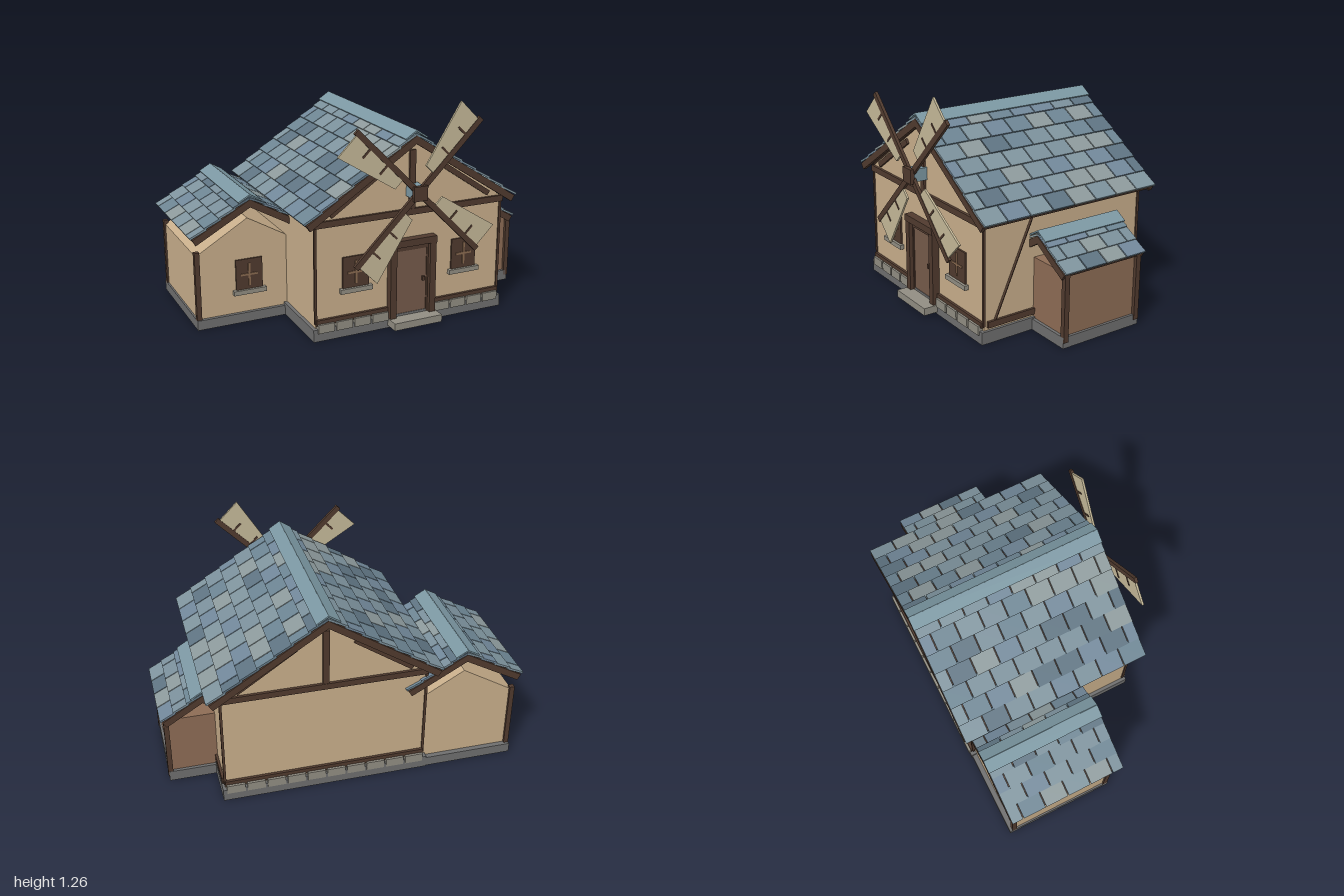
import * as THREE from 'three';

const mat = (color) => new THREE.MeshStandardMaterial({ color });
const M = {
  plaster: mat(0xc8ae8b), timber: mat(0x503a2e), plank: mat(0x8d6c55), door: mat(0x755a4a),
  base: mat(0x6e6e6e), stone: mat(0x918d82), sail: mat(0xc4b898), bar: mat(0x8a6a50),
  ridge: mat(0x7c98a3),
};
const slates = [0x5f7482, 0x72889a, 0x7f949e, 0x8d9a9c, 0x6d8593, 0x7b909b].map(mat);

let seed = 7;
const rand = () => (seed = (seed * 16807) % 2147483647) / 2147483647;

function add(parent, name, geometry, material, x = 0, y = 0, z = 0) {
  const mesh = new THREE.Mesh(geometry, material);
  mesh.name = name;
  mesh.position.set(x, y, z);
  parent.add(mesh);
  return mesh;
}

// Box given by its minimum and maximum corners
function span(parent, name, material, [x0, x1], [y0, y1], [z0, z1]) {
  const g = new THREE.BoxGeometry(x1 - x0, y1 - y0, z1 - z0);
  return add(parent, name, g, material, (x0 + x1) / 2, (y0 + y1) / 2, (z0 + z1) / 2);
}

// Straight beam between two points in the xy plane
function beam(parent, name, material, [x0, y0], [x1, y1], width, depth, z) {
  const g = new THREE.BoxGeometry(Math.hypot(x1 - x0, y1 - y0), width, depth);
  const m = add(parent, name, g, material, (x0 + x1) / 2, (y0 + y1) / 2, z);
  m.rotation.z = Math.atan2(y1 - y0, x1 - x0);
  return m;
}

// Flat outline extruded from z0 to z1
function prism(parent, name, material, points, z0, z1) {
  const shape = new THREE.Shape(points.map(([x, y]) => new THREE.Vector2(x, y)));
  const g = new THREE.ExtrudeGeometry(shape, { depth: z1 - z0, bevelEnabled: false });
  return add(parent, name, g, material, 0, 0, z0);
}

// Gabled roof: boards, staggered slates, barge boards and a ridge cap
function roof(parent, name, { x, y, half, slope, z0, z1, rows, cols }) {
  const g = new THREE.Group();
  g.name = name;
  g.position.set(x, y, (z0 + z1) / 2);
  parent.add(g);
  const a = Math.atan(slope), len = half / Math.cos(a), depth = z1 - z0;
  for (const turn of [0, Math.PI]) {
    const side = new THREE.Group();
    side.name = name + 'Slope';
    side.rotation.y = turn;
    const s = new THREE.Group();
    s.rotation.z = -a;
    side.add(s);
    g.add(side);
    span(s, 'roofBoards', M.timber, [0, len], [-0.02, 0], [-depth / 2, depth / 2]);
    for (const e of [-1, 1]) {
      add(s, 'bargeBoard', new THREE.BoxGeometry(len, 0.036, 0.022), M.timber, len / 2, -0.02, e * (depth / 2 - 0.011));
    }
    const step = len / rows, w = depth / cols;
    for (let r = 0; r < rows; r++) {
      const shift = r % 2 ? w / 2 : 0;
      for (let c = 0; c <= cols; c++) {
        const a0 = Math.max(0, c * w - shift), a1 = Math.min(depth, (c + 1) * w - shift);
        if (a1 - a0 < 0.02) continue;
        const tile = add(s, 'slate', new THREE.BoxGeometry(step * 1.1, 0.011, a1 - a0 - 0.006),
          slates[Math.floor(rand() * slates.length)], (r + 0.5) * step + 0.002, 0.009, (a0 + a1) / 2 - depth / 2);
        tile.rotation.z = 0.07;
      }
    }
    span(s, 'ridgeCap', M.ridge, [-0.016, 0.062], [0.018, 0.026], [-depth / 2, depth / 2]);
  }
}

// Window with frame, crossing bars and stone sill; z is the wall face
function windowUnit(parent, x, y, z) {
  const g = new THREE.Group();
  g.name = 'window';
  g.position.set(x, y, z);
  parent.add(g);
  add(g, 'windowFrame', new THREE.BoxGeometry(0.155, 0.18, 0.02), M.timber);
  add(g, 'windowBarUpright', new THREE.BoxGeometry(0.012, 0.13, 0.006), M.bar, 0, 0, 0.011);
  add(g, 'windowBarCross', new THREE.BoxGeometry(0.1, 0.012, 0.006), M.bar, 0, 0, 0.011);
  add(g, 'windowSill', new THREE.BoxGeometry(0.19, 0.026, 0.04), M.stone, 0, -0.1, 0.005);
}

function stoneRow(parent, x0, x1, n, z) {
  const w = (x1 - x0) / n;
  for (let i = 0; i < n; i++) {
    add(parent, 'footingStone', new THREE.BoxGeometry(w - 0.012, 0.05, 0.03), M.stone, x0 + (i + 0.5) * w, 0.073, z);
  }
}

function mainHouse(root) {
  const g = new THREE.Group();
  g.name = 'mainHouse';
  root.add(g);
  const cx = 0.13, L = -0.44, R = 0.7, F = 0.49, B = -0.54;
  span(g, 'mainBase', M.base, [-0.46, 0.715], [0, 0.07], [-0.565, 0.51]);
  prism(g, 'mainWalls', M.plaster, [[L, 0.06], [R, 0.06], [R, 0.67], [cx, 1.055], [L, 0.67]], B, F);
  // Timber framing on both gables
  for (const z of [F + 0.002, B - 0.002]) {
    span(g, 'tieBeam', M.timber, [L - 0.005, R + 0.01], [0.637, 0.672], [z - 0.014, z + 0.014]);
    span(g, 'kingPost', M.timber, [cx - 0.018, cx + 0.018], [0.67, 1.0], [z - 0.012, z + 0.012]);
    for (const s of [-1, 1]) {
      beam(g, 'gableBrace', M.timber, [cx + s * 0.485, 0.695], [cx + s * 0.16, 0.915], 0.03, 0.024, z);
    }
  }
  for (const x of [L, R]) {
    for (const z of [F, B]) add(g, 'cornerPost', new THREE.BoxGeometry(0.014, 0.55, 0.014), M.timber, x, 0.37, z);
    span(g, 'wallPlate', M.timber, [x - 0.012, x + 0.012], [0.638, 0.66], [-0.52, 0.47]);
  }
  // Sill beams and footing stones
  span(g, 'sillBeam', M.timber, [L, 0], [0.088, 0.12], [F - 0.01, F + 0.016]);
  span(g, 'sillBeam', M.timber, [0.26, R], [0.088, 0.12], [F - 0.01, F + 0.016]);
  span(g, 'sillBeam', M.timber, [L, R], [0.088, 0.12], [B - 0.016, B + 0.01]);
  span(g, 'sillBeam', M.timber, [R - 0.01, R + 0.014], [0.085, 0.12], [-0.52, 0.47]);
  stoneRow(g, -0.44, -0.01, 4, 0.503);
  stoneRow(g, 0.27, 0.695, 4, 0.503);
  stoneRow(g, -0.44, 0.7, 10, -0.555);
  // Slim diagonal brace on the side wall
  const brace = add(g, 'sideBrace', new THREE.BoxGeometry(0.03, 0.56, 0.005), M.timber, R, 0.377, 0.31);
  brace.rotation.x = -Math.atan2(0.225, 0.51);
  // Doorway
  for (const x of [0.008, 0.252]) span(g, 'doorPost', M.timber, [x - 0.019, x + 0.019], [0.05, 0.5], [0.48, 0.533]);
  span(g, 'doorHeader', M.timber, [-0.012, 0.272], [0.468, 0.507], [0.48, 0.537]);
  span(g, 'door', M.door, [0.027, 0.233], [0.055, 0.468], [0.48, 0.506]);
  span(g, 'doorLintel', M.timber, [0.03, 0.23], [0.438, 0.462], [0.49, 0.512]);
  for (const x of [0.033, 0.227]) span(g, 'doorJamb', M.timber, [x - 0.005, x + 0.005], [0.055, 0.45], [0.49, 0.511]);
  add(g, 'doorKnob', new THREE.BoxGeometry(0.016, 0.024, 0.016), M.timber, 0.202, 0.26, 0.513);
  span(g, 'doorstep', M.stone, [-0.015, 0.28], [0.015, 0.057], [0.49, 0.595]);
  windowUnit(g, -0.205, 0.363, F);
  windowUnit(g, 0.465, 0.363, F);
  roof(g, 'mainRoof', { x: cx, y: 1.085, half: 0.635, slope: 0.65, z0: -0.598, z1: 0.54, rows: 7, cols: 8 });
}

function rightWing(root) {
  const g = new THREE.Group();
  g.name = 'plasterWing';
  root.add(g);
  span(g, 'wingBase', M.base, [-0.975, -0.44], [0, 0.056], [-0.56, 0.1]);
  prism(g, 'wingWalls', M.plaster,
    [[-0.965, 0.05], [-0.43, 0.05], [-0.43, 0.47], [-0.665, 0.605], [-0.965, 0.425]], -0.53, 0.08);
  for (const z of [-0.53, 0.08]) span(g, 'wingPost', M.timber, [-0.975, -0.947], [0.05, 0.45], [z - 0.014, z + 0.014]);
  windowUnit(g, -0.665, 0.28, 0.08);
  roof(g, 'wingRoof', { x: -0.665, y: 0.725, half: 0.33, slope: 0.56, z0: -0.56, z1: 0.138, rows: 4, cols: 5 });
}

function leftShed(root) {
  const g = new THREE.Group();
  g.name = 'plankShed';
  root.add(g);
  span(g, 'shedBase', M.base, [0.7, 0.98], [0, 0.062], [-0.32, 0.19]);
  span(g, 'shedWalls', M.plank, [0.69, 0.966], [0.06, 0.408], [-0.302, 0.172]);
  for (const z of [-0.303, 0.175]) span(g, 'shedPost', M.timber, [0.957, 0.985], [0.032, 0.435], [z - 0.015, z + 0.015]);
  roof(g, 'shedRoof', { x: 0.765, y: 0.555, half: 0.225, slope: 0.62, z0: -0.335, z1: 0.203, rows: 3, cols: 4 });
}

function windmill(root) {
  const g = new THREE.Group();
  g.name = 'windmill';
  g.position.set(0.13, 0.78, 0);
  root.add(g);
  add(g, 'axle', new THREE.BoxGeometry(0.065, 0.07, 0.1), M.ridge, 0, 0, 0.525);
  add(g, 'hub', new THREE.BoxGeometry(0.082, 0.082, 0.024), M.timber, 0, 0, 0.586);
  for (let i = 0; i < 4; i++) {
    const blade = new THREE.Group();
    blade.name = 'blade';
    blade.position.z = 0.571;
    blade.rotation.z = Math.PI / 4 + i * Math.PI / 2;
    g.add(blade);
    span(blade, 'bladeArm', M.timber, [0, 0.525], [-0.016, 0.016], [-0.009, 0.009]);
    prism(blade, 'bladeSail', M.sail, [[0.13, 0.012], [0.51, 0.012], [0.51, 0.162], [0.13, 0.075]], -0.006, 0.006);
    for (const u of [0.26, 0.4]) span(blade, 'sailBatten', M.timber, [u - 0.006, u + 0.006], [0, 0.075], [-0.009, 0.009]);
  }
}

export function createModel() {
  const root = new THREE.Group();
  root.name = 'millHouse';
  seed = 7;
  mainHouse(root);
  rightWing(root);
  leftShed(root);
  windmill(root);
  return root;
}
